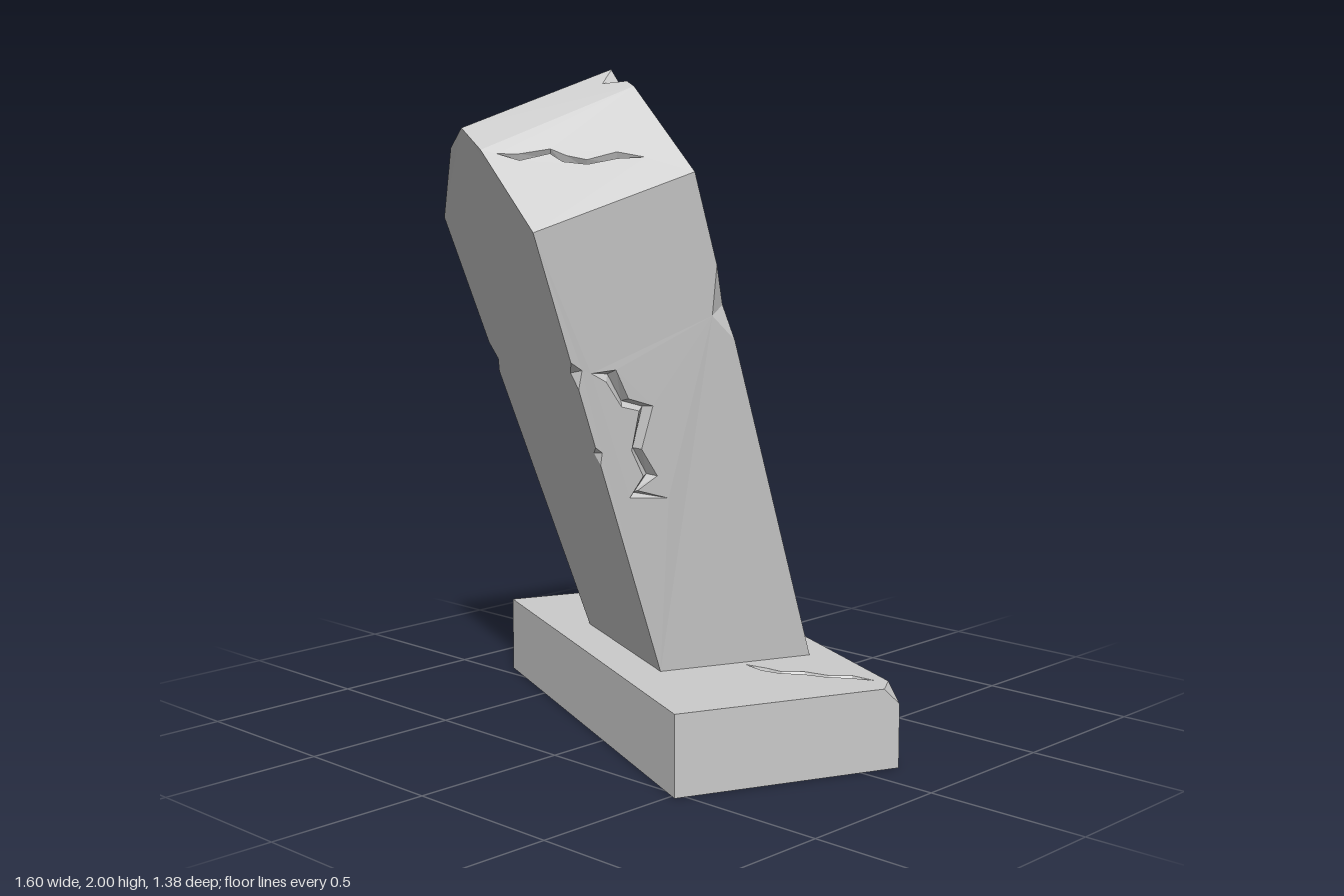
import * as THREE from 'three';

const V = (x, y, z) => new THREE.Vector3(x, y, z);
const material = new THREE.MeshStandardMaterial({ color: 0xcccccc, flatShading: true, side: THREE.DoubleSide });

// Collects triangles of flat stone panels whose edges may be chipped and faces cracked.
class Stone {
  constructor(name) { this.name = name; this.tris = []; this.chips = []; }

  tri(...p) { this.tris.push(...p); }
  quad(a, b, c, d) { this.tri(a, b, c, a, c, d); }

  // A chip on edge p-q between t0 and t1; depths are for the first and second panel built on it.
  chip(p, q, t0, t1, depths) {
    this.chips.push({ p, q, t0, t1, depths, a: p.clone().lerp(q, t0), b: p.clone().lerp(q, t1) });
  }

  panel(corners, { cracks = [], holes = [] } = {}) {
    const count = corners.length;
    const n = V(0, 0, 0);
    corners.forEach((c, i) => n.add(c.clone().cross(corners[(i + 1) % count])));
    n.normalize();
    const o = corners[0];
    const ex = corners[1].clone().sub(o).normalize();
    const ey = n.clone().cross(ex).normalize();
    const flat = p => {
      const d = p.clone().sub(o);
      return new THREE.Vector2(d.dot(ex), d.dot(ey));
    };

    // outline with bites taken out along chipped edges
    const outline = [];
    corners.forEach((p, i) => {
      const q = corners[(i + 1) % count];
      outline.push(p);
      const inward = n.clone().cross(q.clone().sub(p)).normalize();
      const forward = this.chips.filter(c => c.p === p && c.q === q);
      const backward = this.chips.filter(c => c.q === p && c.p === q).reverse();
      for (const c of [...forward, ...backward]) {
        const [a, b] = c.p === p ? [c.a, c.b] : [c.b, c.a];
        const first = !c.inner;
        const inner = a.clone().lerp(b, first ? 0.4 : 0.55).addScaledVector(inward, c.depths[first ? 0 : 1]);
        outline.push(a, inner, b);
        if (first) Object.assign(c, { inner, from: a, to: b });
        else this.tri(c.inner, c.from, inner, c.to, c.inner, inner);
      }
    });

    // V-shaped grooves along the crack paths
    const allHoles = [...holes];
    for (const { path, width, depth } of cracks) {
      const mid = path.map(p => p.clone().addScaledVector(n, -p.clone().sub(o).dot(n)));
      const last = mid.length - 1;
      const side = s => mid.map((p, i) => {
        if (i === 0 || i === last) return p;
        const along = mid[i + 1].clone().sub(mid[i - 1]).normalize();
        return p.clone().addScaledVector(n.clone().cross(along), s * width * (i % 2 ? 1 : 0.7));
      });
      const left = side(1), right = side(-1);
      const deep = mid.map((p, i) => (i === 0 || i === last) ? p : p.clone().addScaledVector(n, -depth));
      for (let i = 0; i < last; i++) {
        this.quad(left[i], deep[i], deep[i + 1], left[i + 1]);
        this.quad(deep[i], right[i], right[i + 1], deep[i + 1]);
      }
      allHoles.push([...left, ...right.slice(1, -1).reverse()]);
    }

    const points = [outline, ...allHoles].flat();
    const faces = THREE.ShapeUtils.triangulateShape(outline.map(flat), allHoles.map(h => h.map(flat)));
    for (const [i, j, k] of faces) {
      const [a, b, c] = [points[i], points[j], points[k]];
      const up = b.clone().sub(a).cross(c.clone().sub(a)).dot(n) > 0;
      this.tri(a, up ? b : c, up ? c : b);
    }
  }

  mesh() {
    const geometry = new THREE.BufferGeometry().setFromPoints(this.tris);
    geometry.computeVertexNormals();
    const mesh = new THREE.Mesh(geometry, material);
    mesh.name = this.name;
    return mesh;
  }
}

// Half profile (foot, shoulder, haunch, peak) mirrored into a full arch from -x to +x.
const arch = half => [
  ...half.slice(0, 3).map(([x, y, z]) => V(-x, y, z)),
  ...half.slice().reverse().map(([x, y, z]) => V(x, y, z)),
];
const backZ = y => -0.265 + 0.297 * (y - 0.24);
const onBack = ([x, y], inset = 0) => [x, y, backZ(y) + inset];

function buildHeadstone() {
  const stone = new Stone('headstone');
  const front = arch([[0.305, 0.24, 0.224], [0.436, 1.55, 0.65], [0.15, 1.77, 0.709], [0, 1.83, 0.72]]);
  const back = arch([[0.305, 0.24], [0.436, 1.71], [0.15, 1.95], [0, 2]].map(p => onBack(p)));
  const rim = [[0.26, 0.24], [0.388, 1.68], [0.14, 1.885], [0, 1.935]];
  const inner = arch(rim.map(p => onBack(p)));
  const floor = arch(rim.map(p => onBack(p, 0.055)));

  // chipped edges
  stone.chip(front[0], front[1], 0.63, 0.7, [0.04, 0.04]);
  stone.chip(front[6], front[5], 0.49, 0.53, [0.015, 0.03]);
  stone.chip(front[6], front[5], 0.66, 0.72, [0.025, 0.03]);
  stone.chip(back[6], back[5], 0.67, 0.82, [0.05, 0.03]);
  stone.chip(back[0], back[1], 0.62, 0.68, [0.03, 0.025]);
  stone.chip(back[0], back[1], 0.76, 0.84, [0.05, 0.03]);
  stone.chip(back[3], back[4], 0.02, 0.7, [0.06, 0.035]);

  // sides and arched top, with their cracks
  const sidePath = (s, yz) => yz.map(([y, z]) => V(s * (0.305 + 0.1 * (y - 0.24)), y, z));
  const roofPath = [[0.18, 0.67], [0.215, 0.615], [0.233, 0.53], [0.27, 0.5], [0.305, 0.445], [0.32, 0.36], [0.357, 0.29]]
    .map(([x, z]) => V(x, 1.77 + (0.709 - z) * 0.38 - (x - 0.15) * 0.8, z));
  const wallCracks = {
    0: sidePath(-1, [[1.1, 0.44], [1.05, 0.39], [0.98, 0.36], [0.95, 0.28], [0.86, 0.23], [0.8, 0.15]]),
    4: roofPath,
    5: sidePath(1, [[1.15, 0.47], [1.14, 0.41], [1.06, 0.365], [1.04, 0.3], [0.92, 0.325], [0.84, 0.28], [0.79, 0.33], [0.77, 0.22]]),
  };
  for (let i = 0; i < 6; i++) {
    const path = wallCracks[i];
    const cracks = path ? [{ path, width: i === 4 ? 0.013 : 0.022, depth: 0.03 }] : [];
    stone.panel([front[i], front[i + 1], back[i + 1], back[i]], { cracks });
    // inner walls of the sunken back
    stone.quad(inner[i], inner[i + 1], floor[i + 1], floor[i]);
  }

  // front face, raised rim and sunken back panel
  stone.panel([...front].reverse());
  stone.panel([...back, ...[...inner].reverse()]);
  const floorPath = xy => xy.map(p => V(...onBack(p, 0.055)));
  stone.panel(floor, {
    cracks: [
      [[0.35, 1.62], [0.29, 1.56], [0.24, 1.55], [0.18, 1.47], [0.08, 1.48], [0, 1.45]],
      [[-0.34, 1.45], [-0.28, 1.38], [-0.22, 1.36], [-0.18, 1.27], [-0.12, 1.22]],
    ].map(xy => ({ path: floorPath(xy), width: 0.011, depth: 0.02 })),
  });

  const foot = [front[0], front[6], back[6], inner[6], floor[6], floor[0], inner[0], back[0]];
  return { mesh: stone.mesh(), foot };
}

function buildBase(foot) {
  const stone = new Stone('base');
  const X = 0.72, Z = 0.35, H = 0.24;
  const low = [V(-X, 0, Z), V(X, 0, Z), V(X, 0, -Z), V(-X, 0, -Z)];
  const frontLeft = V(-X, H, Z), frontRight = V(X, H, Z), backLeft = V(-X, H, -Z);
  // broken-off corner
  const cutBack = V(0.65, H, -Z), cutSide = V(X, H, -0.3), cutLow = V(X, 0.19, -Z);
  stone.tri(cutBack, cutSide, cutLow);

  stone.chip(backLeft, cutBack, 0.11, 0.19, [0.1, 0.06]);
  stone.chip(backLeft, cutBack, 0.39, 0.52, [0.045, 0.06]);

  // four walls, open underneath
  stone.panel([low[0], low[1], frontRight, frontLeft]);
  stone.panel([low[1], low[2], cutLow, cutSide, frontRight]);
  stone.panel([low[2], low[3], backLeft, cutBack, cutLow]);
  stone.panel([low[3], low[0], frontLeft, backLeft]);

  // top, opened where the headstone stands
  const path = [[0.33, -0.04], [0.4, -0.07], [0.45, -0.1], [0.48, -0.16], [0.54, -0.21], [0.57, -0.27], [0.63, -0.315]]
    .map(([x, z]) => V(x, H, z));
  stone.panel([frontLeft, frontRight, cutSide, cutBack, backLeft], {
    holes: [foot],
    cracks: [{ path, width: 0.014, depth: 0.03 }],
  });
  return stone.mesh();
}

export function createModel() {
  const model = new THREE.Group();
  model.name = 'leaningGravestone';
  const stones = new THREE.Group();
  stones.name = 'gravestone';
  const { mesh, foot } = buildHeadstone();
  stones.add(mesh, buildBase(foot));
  stones.rotation.y = -0.4136;
  stones.position.z = -0.08;
  model.add(stones);
  return model;
}
